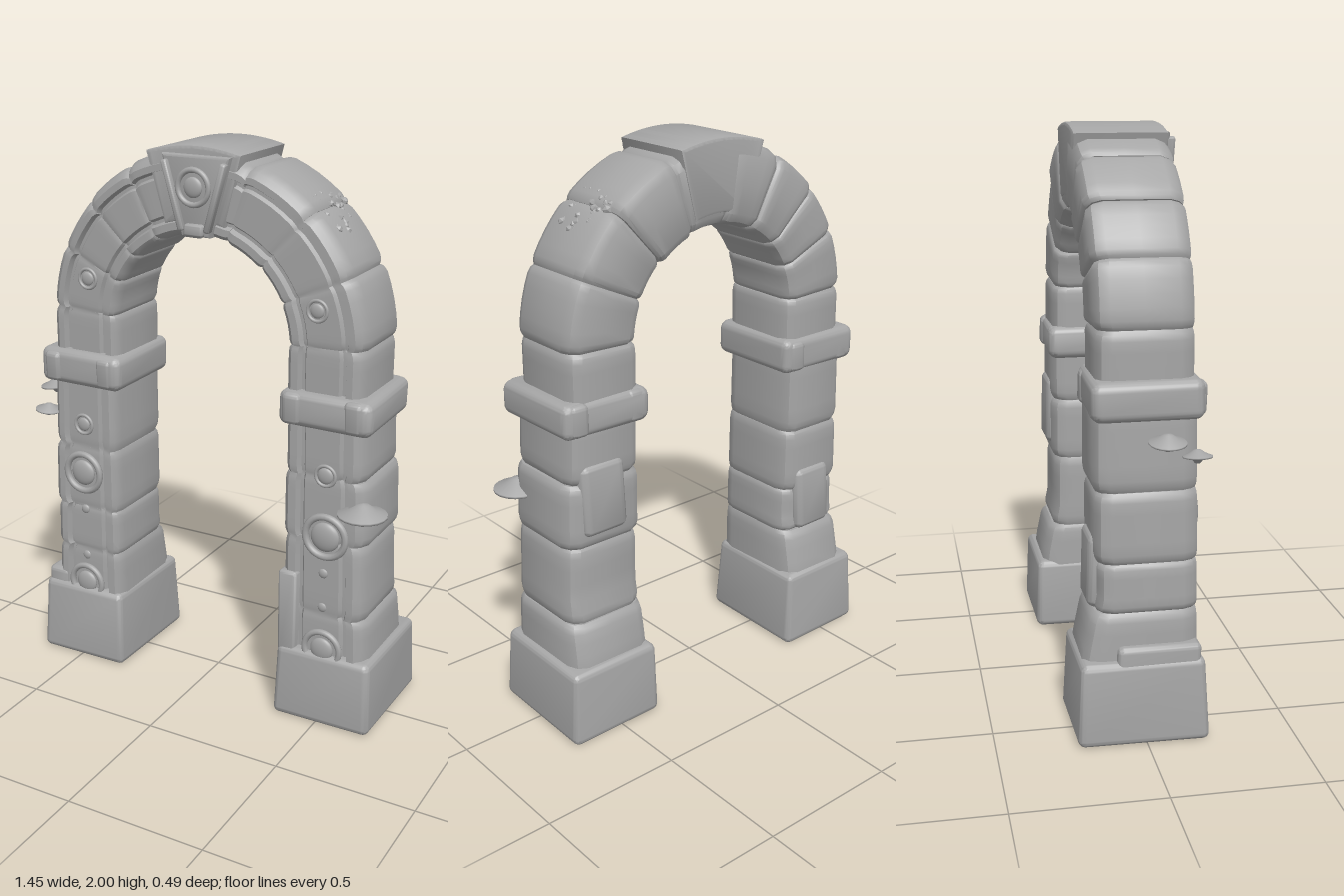
import * as THREE from 'three';
import { toCreasedNormals } from 'three/addons/utils/BufferGeometryUtils.js';
import { RoundedBoxGeometry } from 'three/addons/geometries/RoundedBoxGeometry.js';

const stone = new THREE.MeshStandardMaterial({ color: 0xa6a6a6 });
stone.name = 'grey stone';

let seed = 11;
const jitter = (a) => {
  seed = (seed * 16807) % 2147483647;
  return (seed / 2147483647 - 0.5) * 2 * a;
};

// Moulded cross-section: u runs inner to outer, w runs back to front
const SECTION = [
  [0, 0.86], [0.03, 0.96], [0.08, 1], [0.17, 1], [0.2, 0.94], [0.24, 0.94], [0.27, 0.98], [0.5, 0.98],
  [0.7, 0.98], [0.73, 0.94], [0.77, 0.94], [0.8, 1], [0.88, 1], [0.95, 0.95], [1, 0.85],
  [1, 0.5], [1, 0.15], [0.95, 0.05], [0.85, 0], [0.5, 0], [0.15, 0], [0.05, 0.05], [0, 0.15], [0, 0.5],
];

// Lofts the section along stacked blocks; sinks the surface at each joint
function loftBlocks(joints, extents, place, rough) {
  const steps = [0, 0.05, 0.13, 0.3, 0.5, 0.7, 0.87, 0.95, 1];
  const sink = [0.012, 0.004, 0, 0, 0, 0, 0, 0.004, 0.012];
  const pos = [], index = [], n = SECTION.length;
  let rows = 0;
  for (let b = 0; b < joints.length - 1; b++) {
    const o = jitter(rough * 0.6), k = jitter(rough), i = jitter(rough * 0.4);
    steps.forEach((t, q) => {
      const s = joints[b] + (joints[b + 1] - joints[b]) * t;
      const e = extents(s), g = sink[q];
      const r0 = e.in + i + g * 0.6, r1 = e.out + o - g;
      const z0 = e.zb + k + g, z1 = e.zf - g * 0.35;
      for (const [u, w] of SECTION) pos.push(...place(s, r0 + (r1 - r0) * u, z0 + (z1 - z0) * w));
      rows++;
    });
  }
  for (let i = 0; i < rows - 1; i++) for (let j = 0; j < n; j++) {
    const a = i * n + j, c = i * n + (j + 1) % n;
    index.push(a, a + n, c + n, a, c + n, c);
  }
  const g = new THREE.BufferGeometry();
  g.setAttribute('position', new THREE.Float32BufferAttribute(pos, 3));
  g.setIndex(index);
  return toCreasedNormals(g, 0.6);
}

// Rounded block between two corners; the top narrows by `taper`, the faces wave slightly
function block(x0, x1, y0, y1, z0, z1, radius, taper = 0, wave = 0.004) {
  const g = new RoundedBoxGeometry(x1 - x0, y1 - y0, z1 - z0, 4, radius);
  const p = g.attributes.position, h = y1 - y0;
  for (let i = 0; i < p.count; i++) {
    const x = p.getX(i), y = p.getY(i), z = p.getZ(i);
    const k = 1 - taper * (y / h + 0.5);
    p.setXYZ(i, x * k + wave * Math.sin(9 * z + 20 * y), y, z * k + wave * Math.sin(11 * x + 17 * y));
  }
  g.translate((x0 + x1) / 2, (y0 + y1) / 2, (z0 + z1) / 2);
  return toCreasedNormals(g, 0.7);
}

export function createModel() {
  const model = new THREE.Group();
  model.name = 'stoneArch';
  const add = (name, geo, x = 0, y = 0, z = 0, parent = model) => {
    const m = new THREE.Mesh(geo, stone);
    m.name = name;
    m.position.set(x, y, z);
    parent.add(m);
    return m;
  };
  const lerp = THREE.MathUtils.lerp;

  // Round ornament: ring with a domed centre
  const medallion = (name, x, y, z, r, dome) => {
    const g = new THREE.Group();
    g.name = name;
    g.position.set(x, y, z);
    add('medallionRing', new THREE.TorusGeometry(r, r * 0.17, 8, 32), 0, 0, 0, g);
    add('medallionDome', new THREE.SphereGeometry(r * dome, 20, 12), 0, 0, 0, g).scale.z = 0.35;
    model.add(g);
    return g;
  };

  // Legs
  const legExtents = (bottom, top) => (y) => {
    const t = THREE.MathUtils.clamp((y - 0.27) / 0.85, 0, 1);
    const foot = THREE.MathUtils.clamp((0.5 - y) / 0.22, 0, 1);
    return {
      in: lerp(bottom[0], top[0], t), out: lerp(bottom[1], top[1], t),
      zf: lerp(0.18, 0.17, t), zb: -0.163 - 0.045 * foot,
    };
  };
  add('rightLeg', loftBlocks([0.2, 0.45, 0.62, 0.86, 1.16],
    legExtents([0.33, 0.632], [0.338, 0.615]), (y, r, z) => [-r, y, z], 0.013));
  add('leftLeg', loftBlocks([1.16, 0.93, 0.7, 0.42, 0.2],
    legExtents([0.35, 0.67], [0.345, 0.638]), (y, r, z) => [r, y, z], 0.013));

  // Arch: short upright, half circle, short upright
  const cx = 0.005, cy = 1.36, up = 0.2, arc = 0.476 * Math.PI;
  const placeArch = (s, r, z) => {
    if (s < up) return [cx - r, cy - up + s, z];
    if (s > up + arc) return [cx + r, cy - (s - up - arc), z];
    const a = Math.PI - (s - up) / 0.476;
    return [cx + r * Math.cos(a), cy + r * Math.sin(a), z];
  };
  const archJoints = [0, 0.22, 0.4, 0.56, 0.72, 0.9, 1.1, 1.3, 1.49, 1.68, 2 * up + arc];
  add('arch', loftBlocks(archJoints, () => ({ in: 0.337, out: 0.615, zf: 0.16, zb: -0.163 }), placeArch, 0.009));

  // Plinths and capitals
  add('rightPlinth', block(-0.67, -0.307, 0, 0.29, -0.235, 0.21, 0.025, 0.07));
  add('leftPlinth', block(0.335, 0.705, 0, 0.272, -0.243, 0.205, 0.025, 0.05));
  add('rightCapital', block(-0.652, -0.308, 1.1, 1.23, -0.178, 0.19, 0.032, 0, 0.005));
  add('leftCapital', block(0.32, 0.662, 1.1, 1.222, -0.178, 0.19, 0.032, 0, 0.005));
  for (const x of [-0.59, -0.37, 0.375, 0.6]) {
    add('capitalBand', block(x - 0.035, x + 0.035, 1.107, 1.219, -0.181, 0.196, 0.02, 0, 0.002));
  }

  // Patch stones on the faces of the legs
  add('frontPatchStone', block(0.343, 0.412, 0.25, 0.565, 0.08, 0.19, 0.014));
  add('sidePatchStone', block(-0.655, -0.56, 0.12, 0.34, -0.1, 0.18, 0.02));
  add('rearPatchStone', block(0.42, 0.6, 0.74, 1.0, -0.182, -0.1, 0.03));
  add('rearPatchStone', block(-0.56, -0.39, 0.45, 0.7, -0.182, -0.1, 0.03));

  // Crown block across the top of the arch
  const crown = new THREE.Shape();
  crown.absarc(0, 1.36, 0.627, Math.PI / 2 + 0.29, Math.PI / 2 - 0.25, true);
  crown.absarc(0, 1.36, 0.4, Math.PI / 2 - 0.25, Math.PI / 2 + 0.29, false);
  add('crownBlock', toCreasedNormals(new THREE.ExtrudeGeometry(crown, {
    depth: 0.3, curveSegments: 16, bevelThickness: 0.012, bevelSize: 0.012, bevelSegments: 2,
  }), 0.7), 0, 0, -0.153);

  // Keystone with a raised rim
  const wedge = (top, bottom, y0, y1, depth) => {
    const s = new THREE.Shape([
      new THREE.Vector2(0.01 - bottom, y0), new THREE.Vector2(0.01 + bottom, y0),
      new THREE.Vector2(0.01 + top, y1), new THREE.Vector2(0.01 - top, y1),
    ]);
    return new THREE.ExtrudeGeometry(s, { depth, bevelThickness: 0.01, bevelSize: 0.01, bevelSegments: 2 });
  };
  add('keystone', toCreasedNormals(wedge(0.118, 0.047, 1.71, 1.96, 0.15), 0.6), 0, 0, 0.02);
  for (const side of [-1, 1]) {
    const rim = add('keystoneRim', block(-0.011, 0.011, -0.12, 0.12, -0.02, 0.018, 0.008, 0, 0), 0.01 + side * 0.08, 1.835, 0.182);
    rim.rotation.z = -side * 0.277;
  }
  add('keystoneFoot', block(-0.03, 0.045, 1.7, 1.745, 0.1, 0.2, 0.012));
  medallion('keystoneMedallion', 0.005, 1.865, 0.184, 0.058, 0.6);

  // Ornaments on legs and arch
  medallion('rightLegMedallion', -0.48, 0.76, 0.174, 0.072, 0.68);
  medallion('leftLegMedallion', 0.51, 0.72, 0.174, 0.074, 0.72);
  medallion('rightLowMedallion', -0.48, 0.31, 0.176, 0.066, 0.65);
  medallion('leftLowMedallion', 0.51, 0.29, 0.176, 0.066, 0.65);
  medallion('rightSmallMedallion', -0.475, 0.95, 0.168, 0.036, 0.7);
  medallion('leftSmallMedallion', 0.502, 0.94, 0.168, 0.036, 0.8);
  medallion('rightArchMedallion', -0.445, 1.5, 0.155, 0.035, 0.7);
  medallion('leftArchMedallion', 0.45, 1.5, 0.155, 0.035, 0.7);
  for (const [x, y] of [[-0.48, 0.42], [-0.48, 0.61], [0.505, 0.45], [0.505, 0.58]]) {
    add('panelBead', new THREE.SphereGeometry(0.018, 12, 8), x, y, 0.168).scale.z = 0.5;
  }

  // Rubble on the worn shoulder of the arch
  for (let i = 0; i < 34; i++) {
    const a = 0.8 + jitter(0.13), z = -0.015 + jitter(0.085);
    const r = 0.608 + jitter(0.006);
    const m = add('rubble', new THREE.IcosahedronGeometry(0.013 + jitter(0.004), 0),
      cx + r * Math.cos(a), cy + r * Math.sin(a), z);
    m.rotation.set(i, i * 2, 0);
  }

  // Shelf mushrooms
  const cap = [[0, -0.04], [0.016, -0.036], [0.03, -0.018], [0.085, -0.004], [0.085, 0.004], [0.045, 0.02], [0.02, 0.038], [0, 0.042]];
  const capGeo = new THREE.LatheGeometry(cap.map(([x, y]) => new THREE.Vector2(x, y)), 18);
  const mushrooms = [[0.637, 0.825, 0.16, 1, 0], [-0.672, 1.04, 0.055, 0.72, 0.12], [-0.637, 0.98, 0.16, 0.58, -0.1]];
  for (const [x, y, z, s, tilt] of mushrooms) {
    const m = add('mushroom', capGeo, x, y, z);
    m.scale.setScalar(s);
    m.rotation.z = tilt;
  }
  return model;
}
